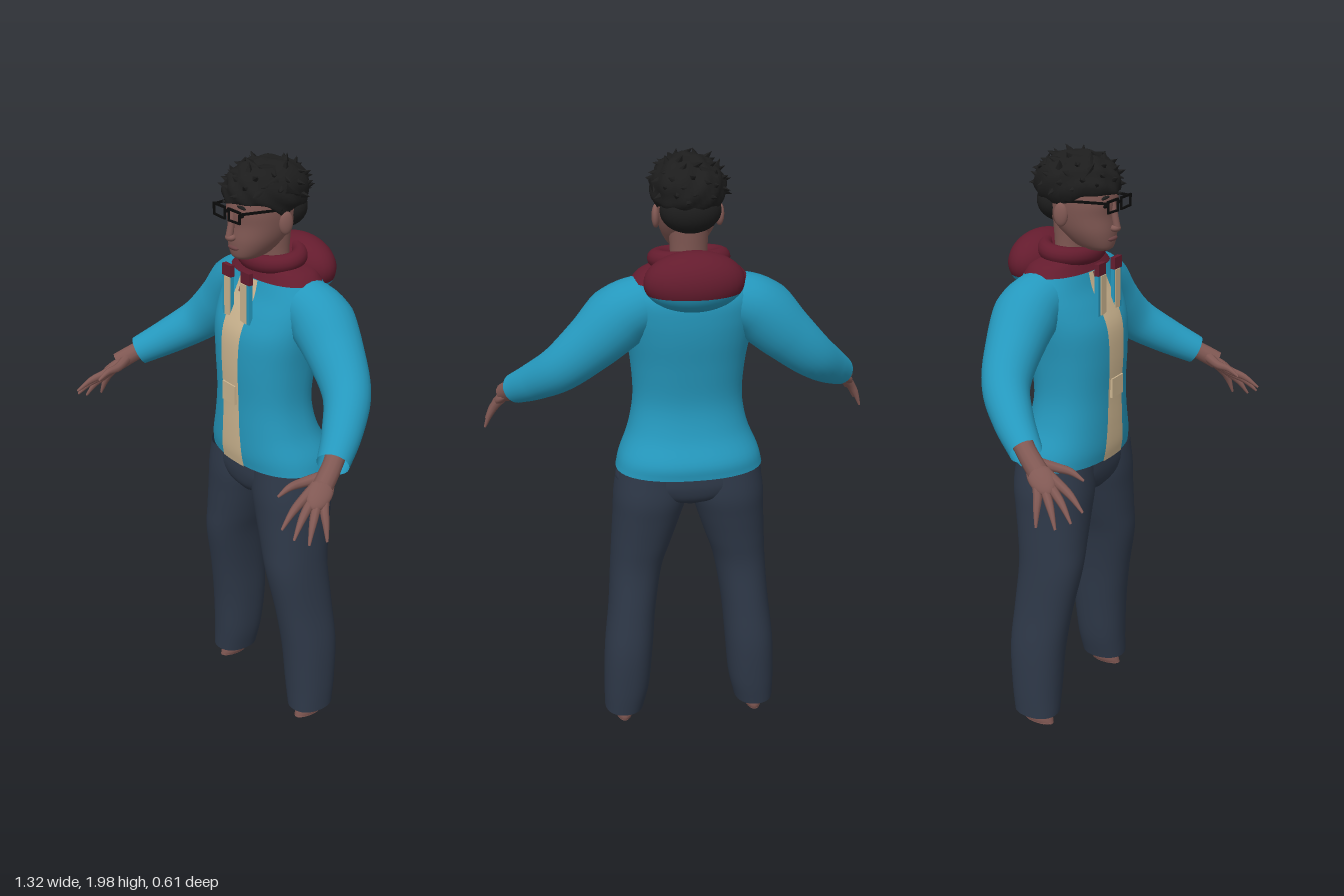
import * as THREE from 'three';

const mat = (name, color, side = THREE.DoubleSide) => {
  const m = new THREE.MeshStandardMaterial({ color, side });
  m.name = name;
  return m;
};

// Smooth loft through rows of [y, centreX, halfWidth, frontZ, backZ], listed bottom to top.
function loft(rows, { n = 2, a0 = 0, a1 = Math.PI * 2, seg = 40, grow = 0 } = {}) {
  const cv = (f) => new THREE.CatmullRomCurve3(rows.map(f), false, 'catmullrom');
  const A = cv((r) => new THREE.Vector3(r[0], r[1], r[2] + grow));
  const B = cv((r) => new THREE.Vector3(r[3] + grow, r[4] - grow, 0));
  const full = a1 - a0 > 6.2, cols = full ? seg : seg + 1, steps = (rows.length - 1) * 5;
  const pos = [], idx = [];
  const bend = (v) => Math.sign(v) * Math.abs(v) ** (2 / n);
  for (let i = 0; i <= steps; i++) {
    const p = A.getPoint(i / steps), q = B.getPoint(i / steps);
    for (let j = 0; j < cols; j++) {
      const a = a0 + ((a1 - a0) * j) / seg;
      pos.push(p.y + p.z * bend(Math.sin(a)), p.x, (q.x + q.y) / 2 + ((q.x - q.y) / 2) * bend(Math.cos(a)));
    }
  }
  for (let i = 0; i < steps; i++) for (let j = 0; j < seg; j++) {
    const k = (j + 1) % cols, a = i * cols + j, b = i * cols + k;
    idx.push(a, b, b + cols, a, b + cols, a + cols);
  }
  const g = new THREE.BufferGeometry();
  g.setAttribute('position', new THREE.Float32BufferAttribute(pos, 3));
  g.setIndex(idx);
  g.computeVertexNormals();
  return g;
}

// Tube along points, each point carrying its own radius as a fourth number.
function limb(pts, radial = 12, steps = 24) {
  const curve = new THREE.CatmullRomCurve3(pts.map((p) => new THREE.Vector3(p[0], p[1], p[2])));
  const g = new THREE.TubeGeometry(curve, steps, 1, radial);
  const pos = g.attributes.position, v = new THREE.Vector3();
  for (let i = 0; i <= steps; i++) {
    const c = curve.getPointAt(i / steps), f = (i / steps) * (pts.length - 1);
    const k = Math.min(Math.floor(f), pts.length - 2);
    const r = THREE.MathUtils.lerp(pts[k][3], pts[k + 1][3], f - k);
    for (let j = 0; j <= radial; j++) {
      const q = i * (radial + 1) + j;
      v.fromBufferAttribute(pos, q).sub(c).multiplyScalar(r).add(c);
      pos.setXYZ(q, v.x, v.y, v.z);
    }
  }
  return g;
}

export function createModel() {
  const model = new THREE.Group();
  const blue = mat('jacket blue', 0x2598bd), red = mat('hood red', 0x641c2e);
  const beige = mat('placket beige', 0xcbb48f), navy = mat('trouser navy', 0x2e3848);
  const skin = mat('skin', 0x805853), black = mat('hair black', 0x1d1d1d);
  const frame = mat('glasses black', 0x0b0b0b), lip = mat('lips', 0x6c4344);

  const add = (name, geo, m, x = 0, y = 0, z = 0) => {
    const mesh = new THREE.Mesh(geo, m);
    mesh.name = name;
    mesh.position.set(x, y, z);
    model.add(mesh);
    return mesh;
  };
  const ball = (name, m, x, y, z, rx, ry, rz, t0 = 0, t1 = Math.PI) =>
    add(name, new THREE.SphereGeometry(1, 28, 18, 0, Math.PI * 2, t0, t1).scale(rx, ry, rz), m, x, y, z);
  const box = (name, m, w, h, d, x, y, z) => add(name, new THREE.BoxGeometry(w, h, d), m, x, y, z);

  // Jacket body, red yoke and front placket
  const body = [
    [0.97, 0, 0.24, 0.045, -0.262], [1.02, 0, 0.228, 0.053, -0.262], [1.1, 0, 0.195, 0.055, -0.225],
    [1.2, 0, 0.177, 0.055, -0.207], [1.32, 0, 0.184, 0.06, -0.222], [1.42, 0, 0.2, 0.055, -0.24],
    [1.49, 0, 0.21, 0.03, -0.247], [1.55, 0, 0.21, 0, -0.245], [1.6, 0, 0.185, -0.018, -0.225],
  ];
  const yoke = [body[8], [1.63, 0, 0.155, -0.035, -0.21], [1.65, 0, 0.1, -0.05, -0.18]];
  add('jacketBody', loft(body, { n: 2.3 }), blue);
  add('jacketYoke', loft(yoke, { n: 2.3 }), red);
  add('placket', loft(body, { n: 2.3, a0: -0.19, a1: 0.19, seg: 8, grow: 0.004 }), beige);
  add('throatOpening', loft(body.slice(7), { n: 2.3, a0: -0.1, a1: 0.1, seg: 6, grow: 0.007 }), skin);
  box('placketTab', beige, 0.068, 0.065, 0.009, 0, 1.222, 0.062);

  // Collar ring and folded hood
  const collar = add('collar', new THREE.TorusGeometry(0.1, 0.029, 14, 40), red, 0, 1.66, -0.105);
  collar.rotation.x = Math.PI / 2 + 0.12;
  collar.scale.set(1, 0.8, 1);
  ball('hoodTop', red, 0, 1.615, -0.215, 0.155, 0.094, 0.088, 0, 1.95);
  ball('hoodUnderside', blue, 0, 1.615, -0.215, 0.155, 0.094, 0.088, 1.95, Math.PI - 1.95);

  // Trousers: seat and two legs
  add('trouserSeat', loft([
    [0.85, 0, 0.05, 0, -0.18], [0.88, 0, 0.16, 0.025, -0.225], [0.92, 0, 0.235, 0.034, -0.24],
    [0.96, 0, 0.236, 0.034, -0.24], [1.0, 0, 0.22, 0.03, -0.235],
  ], { n: 2.3 }), navy);
  const leg = [
    [0.05, 0.231, 0.067, -0.038, -0.2], [0.15, 0.22, 0.078, -0.035, -0.213], [0.3, 0.21, 0.082, -0.025, -0.222],
    [0.45, 0.195, 0.08, -0.003, -0.212], [0.6, 0.177, 0.087, 0.025, -0.202], [0.7, 0.158, 0.1, 0.029, -0.212],
    [0.8, 0.139, 0.113, 0.032, -0.228], [0.88, 0.126, 0.122, 0.035, -0.24], [0.97, 0.118, 0.115, 0.03, -0.235],
  ];

  for (const s of [-1, 1]) {
    const side = s > 0 ? 'left' : 'right';
    const flip = (p) => [s * p[0], ...p.slice(1)];
    add(side + 'TrouserLeg', loft(leg.map((r) => [r[0], s * r[1], ...r.slice(2)]), { n: 2.2 }), navy);
    add(side + 'Foot', loft([
      [0.005, s * 0.232, 0.026, -0.055, -0.168], [0.03, s * 0.23, 0.032, -0.06, -0.172],
      [0.1, s * 0.228, 0.03, -0.075, -0.16],
    ], { seg: 20 }), skin);
    ball(side + 'Sole', skin, s * 0.232, 0.007, -0.112, 0.027, 0.007, 0.057);

    // Sleeve, wrist and hand
    add(side + 'Sleeve', limb([
      [0.12, 1.535, -0.125, 0.085], [0.2, 1.505, -0.135, 0.104], [0.3, 1.412, -0.128, 0.088],
      [0.4, 1.318, -0.095, 0.074], [0.48, 1.247, -0.015, 0.063], [0.545, 1.19, 0.072, 0.05],
    ].map(flip), 24, 36), blue);
    add(side + 'Wrist', limb([[0.5, 1.228, 0.01, 0.035], [0.55, 1.187, 0.08, 0.031], [0.582, 1.15, 0.14, 0.032]].map(flip)), skin);
    const palm = ball(side + 'Palm', skin, s * 0.583, 1.137, 0.148, 0.038, 0.019, 0.062);
    palm.rotation.set(0.55, s * 0.45, s * -0.5, 'YXZ');
    const fingers = {
      Index: [[0.57, 1.125, 0.2], [0.6, 1.07, 0.3]], Middle: [[0.59, 1.11, 0.195], [0.632, 1.043, 0.28]],
      Ring: [[0.607, 1.1, 0.182], [0.65, 1.02, 0.238]], Little: [[0.617, 1.095, 0.158], [0.655, 1.013, 0.175]],
      Thumb: [[0.528, 1.153, 0.175], [0.52, 1.128, 0.255]],
    };
    for (const [name, [b, t]] of Object.entries(fingers)) {
      const mid = b.map((v, i) => (v + t[i]) / 2 + (i === 1 ? 0.008 : 0));
      add(side + name + 'Finger', limb([
        [0.56, 1.17, 0.11, 0.02], [...b, 0.016], [...mid, 0.0125], [...t, 0.004],
      ].map(flip), 8, 14), skin);
    }

    // Hanging collar tabs
    box(side + 'TabLower', blue, 0.044, 0.13, 0.014, s * 0.05, 1.535, 0.03);
    box(side + 'TabFace', beige, 0.03, 0.128, 0.004, s * 0.044, 1.535, 0.038);
    box(side + 'TabUpper', red, 0.044, 0.038, 0.016, s * 0.05, 1.619, 0.03);

    // Ear, eye and brow
    ball(side + 'Ear', skin, s * 0.098, 1.787, -0.083, 0.013, 0.037, 0.023).rotation.y = s * -0.25;
    ball(side + 'Eye', frame, s * 0.036, 1.815, 0.042, 0.014, 0.006, 0.006);
    ball(side + 'Brow', black, s * 0.038, 1.842, 0.042, 0.023, 0.005, 0.007).rotation.z = s * -0.1;

    // Glasses: rim and temple
    const rim = new THREE.Shape([[0.008, 1.798], [0.07, 1.8], [0.072, 1.84], [0.007, 1.84]].map((p) => new THREE.Vector2(s * p[0], p[1])));
    rim.holes.push(new THREE.Path([[0.014, 1.804], [0.064, 1.806], [0.065, 1.833], [0.014, 1.833]].map((p) => new THREE.Vector2(s * p[0], p[1]))));
    add(side + 'GlassesRim', new THREE.ExtrudeGeometry(rim, { depth: 0.006, bevelEnabled: false }), frame, 0, 0, 0.066);
    box(side + 'GlassesTemple', frame, 0.004, 0.008, 0.14, s * 0.086, 1.832, 0.002).rotation.y = s * -0.21;
  }
  box('glassesBridge', frame, 0.02, 0.007, 0.006, 0, 1.828, 0.069);

  // Neck, head, nose and lips
  add('neck', loft([[1.58, 0, 0.07, -0.04, -0.17], [1.66, 0, 0.058, -0.05, -0.158], [1.76, 0, 0.062, -0.03, -0.165]]), skin);
  add('head', loft([
    [1.664, 0, 0.005, 0.005, -0.01], [1.672, 0, 0.036, 0.036, -0.05], [1.69, 0, 0.057, 0.046, -0.09],
    [1.73, 0, 0.079, 0.05, -0.135], [1.78, 0, 0.092, 0.047, -0.175], [1.83, 0, 0.097, 0.051, -0.19],
    [1.89, 0, 0.092, 0.035, -0.19], [1.94, 0, 0.06, -0.01, -0.15], [1.95, 0, 0.005, -0.07, -0.08],
  ], { n: 2.2 }), skin);
  add('noseBridge', limb([[0, 1.825, 0.046, 0.008], [0, 1.78, 0.053, 0.011], [0, 1.745, 0.06, 0.012]]), skin);
  ball('noseTip', skin, 0, 1.742, 0.055, 0.019, 0.012, 0.017);
  ball('lips', lip, 0, 1.708, 0.045, 0.026, 0.008, 0.01);

  // Tousled hair: ridged cap with a raised front hairline, nape and loose tufts
  const cap = new THREE.SphereGeometry(1, 48, 32), p = cap.attributes.position;
  for (let i = 0; i < p.count; i++) {
    const x = p.getX(i), y = p.getY(i), z = p.getZ(i);
    const k = 1 + 0.05 * Math.sin(9 * x + 4 * y) * Math.cos(8 * z - 5 * y);
    const wz = -0.08 + z * 0.143 * k;
    const edge = THREE.MathUtils.lerp(1.79, 1.85, THREE.MathUtils.smoothstep(wz, -0.11, 0));
    p.setXYZ(i, x * 0.114 * k, Math.max(edge, 1.872 + y * 0.1 * k), wz);
  }
  cap.computeVertexNormals();
  add('hairCap', cap, black);
  ball('hairNape', black, 0, 1.815, -0.14, 0.094, 0.07, 0.073);
  let seed = 11;
  const rand = () => (seed = (seed * 16807) % 2147483647) / 2147483647;
  const up = new THREE.Vector3(0, 1, 0);
  for (let i = 0; i < 54; i++) {
    const a = i * 2.4, h = 0.9 - (i / 54) * 1.1, r = Math.sqrt(1 - h * h);
    const d = new THREE.Vector3(Math.sin(a) * r, h, Math.cos(a) * r);
    if (h < 0 && d.z > 0) continue;
    const tuft = add('hairTuft', new THREE.ConeGeometry(0.026, 0.062, 5), black,
      d.x * 0.105, 1.872 + d.y * 0.095, -0.08 + d.z * 0.132);
    const lean = new THREE.Vector3(d.x + (rand() - 0.5) * 1.4, d.y * 0.6 + (rand() - 0.5) * 0.8, d.z + (rand() - 0.5) * 1.4);
    tuft.quaternion.setFromUnitVectors(up, lean.normalize());
  }
  return model;
}
